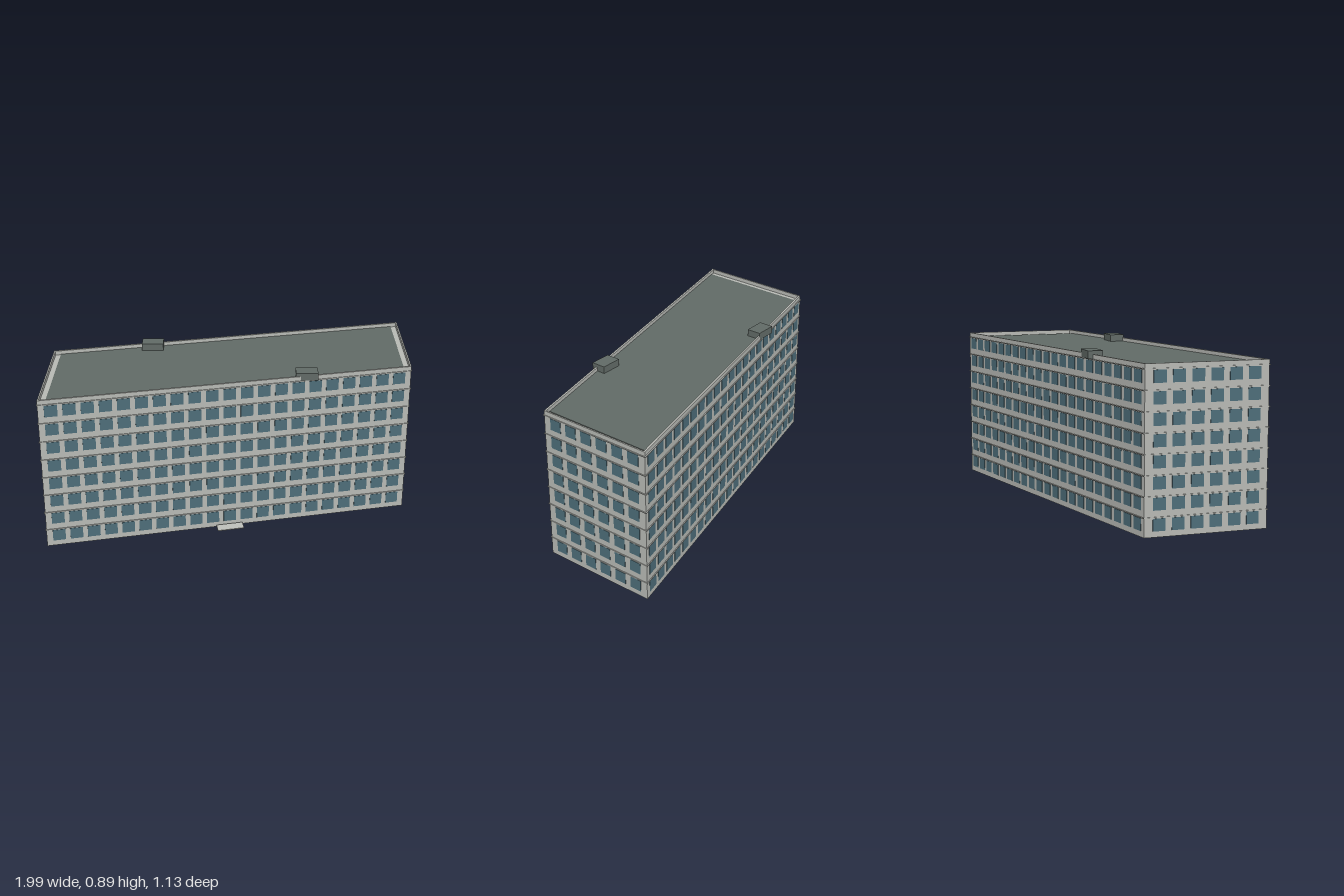
import * as THREE from 'three';
import { mergeGeometries } from 'three/addons/utils/BufferGeometryUtils.js';

const FLOORS = 8, STOREY = 0.1065, ROOF = FLOORS * STOREY;

// Footprint corners (x, z): front wall first, then right, back, left
const CORNERS = [[-0.992, 0.558], [0.992, 0.1], [0.984, -0.558], [-0.99, -0.108]]
  .map(([x, z]) => new THREE.Vector2(x, z));

// The four walls with direction along the wall and outward normal
const WALLS = CORNERS.map((a, i) => {
  const b = CORNERS[(i + 1) % 4];
  const dir = b.clone().sub(a).normalize();
  return { a, b, dir, normal: new THREE.Vector2(-dir.y, dir.x), name: ['front', 'right', 'back', 'left'][i] };
});

// Footprint moved outwards by one distance for the long walls and one for the ends
function offsetFootprint(long, end) {
  return WALLS.map((w, i) => {
    const p = WALLS[(i + 3) % 4];
    const dw = i % 2 ? end : long, dp = i % 2 ? long : end;
    const o1 = w.a.clone().addScaledVector(w.normal, dw);
    const o2 = w.a.clone().addScaledVector(p.normal, dp);
    const d = o2.clone().sub(o1);
    const t = d.cross(p.dir) / w.dir.cross(p.dir);
    return o1.addScaledVector(w.dir, t);
  });
}

// Vertical prism over a footprint, with an optional hole
function prism(points, y0, y1, hole) {
  const flip = (list) => list.map((p) => new THREE.Vector2(p.x, -p.y));
  const shape = new THREE.Shape(flip(points));
  if (hole) shape.holes.push(new THREE.Path(flip(hole)));
  return new THREE.ExtrudeGeometry(shape, { depth: y1 - y0, bevelEnabled: false })
    .rotateX(-Math.PI / 2).translate(0, y0, 0);
}

// Box placed on a wall: u runs along the wall from its middle
function wallBox(wall, u, y, w, h, depth) {
  const mid = wall.a.clone().lerp(wall.b, 0.5).addScaledVector(wall.dir, u);
  return new THREE.BoxGeometry(w, h, depth)
    .rotateY(Math.atan2(wall.normal.x, wall.normal.y)).translate(mid.x, y, mid.y);
}

export function createModel() {
  const material = (name, color) => Object.assign(new THREE.MeshStandardMaterial({ color }), { name });
  const concrete = material('pale concrete', 0xb7b9b4);
  const glass = material('blue grey glass', 0x4d6d79);
  const roofing = material('dark roofing', 0x616a66);

  const group = new THREE.Group();
  group.name = 'officeBlock';
  const add = (name, geometry, mat) => {
    const mesh = new THREE.Mesh(geometry, mat);
    mesh.name = name;
    group.add(mesh);
    return mesh;
  };

  // Main block and parapet
  add('body', prism(CORNERS, 0, ROOF - 0.002, null), concrete);
  add('parapet', prism(CORNERS, ROOF - 0.002, 0.873, offsetFootprint(-0.011, -0.008)), concrete);
  add('roofDeck', prism(offsetFootprint(-0.011, -0.037), ROOF - 0.003, ROOF + 0.001), roofing);

  // Thin ledge around each floor line
  const rim = offsetFootprint(0.005, 0.004);
  const inner = offsetFootprint(-0.002, -0.002);
  const ledges = [];
  for (let f = 1; f <= FLOORS; f++) {
    const y = f * STOREY - 0.008;
    ledges.push(prism(rim, y, y + 0.005, inner));
  }
  add('floorLedges', mergeGeometries(ledges), concrete);

  // Window grids on all four walls
  WALLS.forEach((wall, i) => {
    const [count, pitch, width] = i % 2 ? [6, 0.1014, 0.068] : [21, 0.095, 0.069];
    const panes = [];
    for (let f = 0; f < FLOORS; f++) {
      for (let c = 0; c < count; c++) {
        panes.push(wallBox(wall, (c - (count - 1) / 2) * pitch, 0.063 + f * STOREY, width, 0.065, 0.004));
      }
    }
    add(wall.name + 'Windows', mergeGeometries(panes), glass);
  });

  // Two rooftop housings
  for (const [name, x, z] of [['backRoofHousing', -0.44, -0.205], ['frontRoofHousing', 0.415, 0.2]]) {
    add(name, new THREE.BoxGeometry(0.12, 0.042, 0.082), roofing).position.set(x, 0.871, z);
  }

  // Sloping entrance ramp beside the front wall
  const ramp = add('entranceRamp', new THREE.BoxGeometry(0.148, 0.005, 0.045), concrete);
  ramp.rotation.set(0.24, Math.atan2(WALLS[0].normal.x, WALLS[0].normal.y), 0, 'YXZ');
  ramp.position.set(0.003, 0.009, 0.362);

  return group;
}
